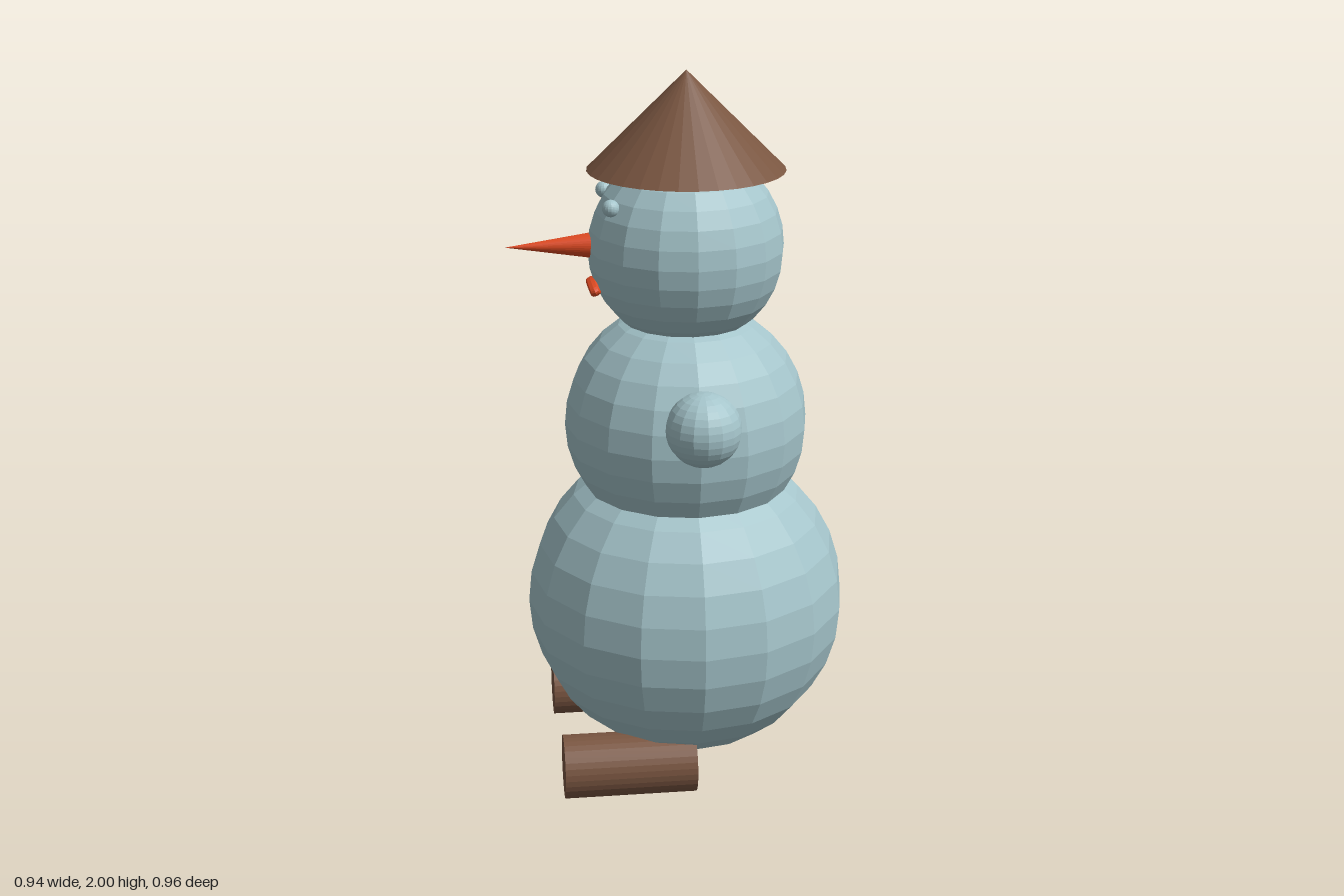
import * as THREE from 'three';

export function createModel() {
  const group = new THREE.Group();
  group.name = 'snowman';

  const snow = new THREE.MeshStandardMaterial({ name: 'paleBlueSnow', color: 0xa5c5cb, flatShading: true });
  const brown = new THREE.MeshStandardMaterial({ name: 'brown', color: 0x7a5641, flatShading: true });
  const orange = new THREE.MeshStandardMaterial({ name: 'carrotOrange', color: 0xdf4a22, flatShading: true });

  const cx = 0.02; // vertical axis of the stacked body

  function add(name, geometry, material, x, y, z) {
    const mesh = new THREE.Mesh(geometry, material);
    mesh.name = name;
    mesh.position.set(x, y, z);
    group.add(mesh);
    return mesh;
  }
  const ball = (r, sides = 16) => new THREE.SphereGeometry(r, sides, 16);

  // Stacked snowballs
  add('lowerBody', ball(0.45), snow, cx, 0.495, 0);
  add('upperBody', ball(0.338), snow, cx, 1.025, 0);
  add('head', ball(0.268), snow, cx, 1.522, 0);

  // Cone hat
  add('hat', new THREE.ConeGeometry(0.268, 0.265, 32), brown, cx, 1.8675, 0);

  // Carrot nose, pointing to -x
  const nose = new THREE.ConeGeometry(0.037, 0.25, 32);
  nose.rotateZ(Math.PI / 2);
  add('nose', nose, orange, -0.345, 1.532, -0.003);

  // Mouth: flattened ring lying against the face
  const mouth = new THREE.TorusGeometry(0.05, 0.014, 8, 24);
  mouth.scale(1, 0.36, 1);
  mouth.rotateY(-Math.PI / 2);
  add('mouth', mouth, orange, -0.233, 1.418, 0).rotation.z = 0.4;

  // Paired eyes, hands and feet
  for (const side of [-1, 1]) {
    const label = side > 0 ? 'Front' : 'Back';
    add('eye' + label, ball(0.023), snow, -0.193, 1.659, side * 0.11);
    add('hand' + label, ball(0.1), snow, cx, 1.13, side * 0.38);

    const foot = new THREE.CylinderGeometry(0.089, 0.089, 0.37, 32);
    foot.rotateZ(Math.PI / 2);
    add('foot' + label, foot, brown, -0.17, 0.089, side * 0.254 - 0.007);
  }

  return group;
}
